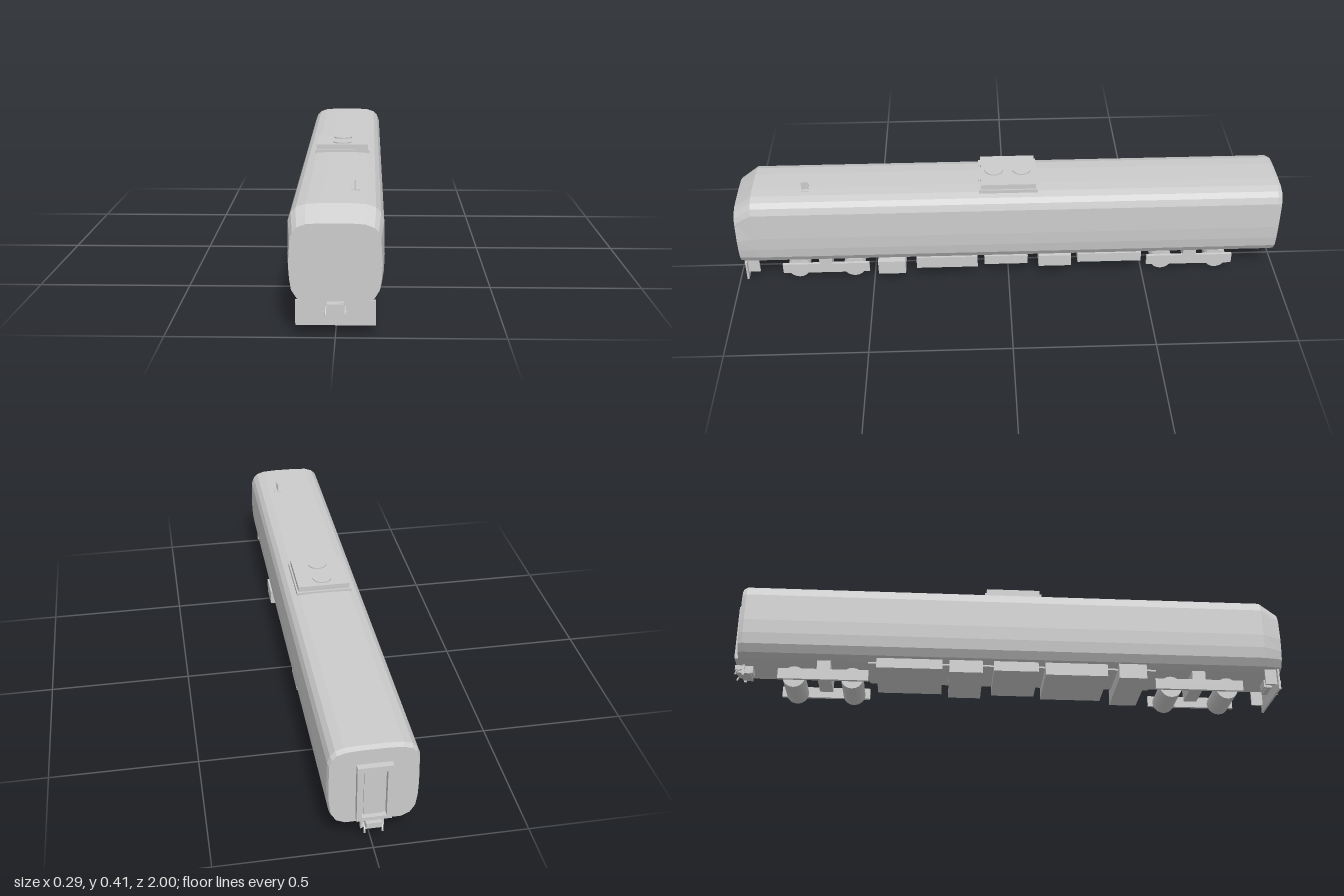
import * as THREE from 'three';

const grey = new THREE.MeshStandardMaterial({ color: 0xcccccc, flatShading: true });

// Box given by its limits on each axis
function box(parent, name, [x0, x1], [y0, y1], [z0, z1]) {
  const mesh = new THREE.Mesh(new THREE.BoxGeometry(x1 - x0, y1 - y0, z1 - z0), grey);
  mesh.position.set((x0 + x1) / 2, (y0 + y1) / 2, (z0 + z1) / 2);
  mesh.name = name;
  parent.add(mesh);
  return mesh;
}

// Right half of the hull section, bottom to top; mirrored into a closed ring
const fullHalf = [[0.09, 0.1], [0.118, 0.113], [0.135, 0.14], [0.141, 0.18], [0.143, 0.23],
  [0.141, 0.33], [0.132, 0.354], [0.117, 0.37], [0.09, 0.379], [0.045, 0.382]];
const noseHalf = [[0.085, 0.1], [0.113, 0.112], [0.129, 0.138], [0.134, 0.17], [0.137, 0.215],
  [0.132, 0.29], [0.125, 0.311], [0.113, 0.324], [0.086, 0.334], [0.043, 0.337]];
const mirrorRing = half => [...half, ...half.slice().reverse().map(([x, y]) => [-x, y])];

// Lofts the sections from back to front and caps both ends
function loft(sections) {
  const n = sections[0].ring.length, pos = [], idx = [];
  sections.forEach(({ z, ring }) => ring.forEach(([x, y]) => pos.push(x, y, z)));
  for (let s = 0; s < sections.length - 1; s++) {
    for (let i = 0; i < n; i++) {
      const a = s * n + i, b = s * n + (i + 1) % n;
      idx.push(a, b, b + n, a, b + n, a + n);
    }
  }
  const last = (sections.length - 1) * n;
  for (let i = 1; i < n - 1; i++) {
    idx.push(0, i + 1, i, last, last + i, last + i + 1);
  }
  const geo = new THREE.BufferGeometry();
  geo.setAttribute('position', new THREE.Float32BufferAttribute(pos, 3));
  geo.setIndex(idx);
  geo.computeVertexNormals();
  return geo;
}

// Two axles in a frame with a bolster
function makeTruck(z) {
  const truck = new THREE.Group();
  truck.name = 'truck';
  for (const dz of [-0.103, 0.103]) {
    const wheels = new THREE.Mesh(new THREE.CylinderGeometry(0.04, 0.04, 0.156, 20), grey);
    wheels.rotation.z = Math.PI / 2;
    wheels.position.set(0, 0.04, dz);
    wheels.name = 'wheelSet';
    truck.add(wheels);
  }
  for (const s of [-1, 1]) {
    box(truck, 'sideFrame', s > 0 ? [0.079, 0.09] : [-0.09, -0.079], [0.027, 0.067], [-0.16, 0.16]);
  }
  box(truck, 'bolster', [-0.09, 0.09], [0.05, 0.105], [-0.024, 0.024]);
  truck.position.z = z;
  return truck;
}

// Drawbar box, side hangers and a small curved hook each side
function makeCoupler() {
  const coupler = new THREE.Group();
  coupler.name = 'coupler';
  box(coupler, 'drawbarBox', [-0.025, 0.025], [0.072, 0.103], [0.935, 0.99]);
  box(coupler, 'drawbarShelf', [-0.036, 0.036], [0.066, 0.072], [0.94, 0.975]);
  for (const s of [-1, 1]) {
    box(coupler, 'hanger', [s * 0.034 - 0.003, s * 0.034 + 0.003], [0.06, 0.103], [0.963, 0.972]);
    const path = new THREE.CatmullRomCurve3([[0.972, 0.085], [0.985, 0.081], [0.994, 0.073], [0.997, 0.063]]
      .map(([z, y]) => new THREE.Vector3(s * 0.028, y, z)));
    const hook = new THREE.Mesh(new THREE.TubeGeometry(path, 8, 0.003, 6), grey);
    hook.name = 'hook';
    coupler.add(hook);
  }
  box(coupler, 'knuckle', [-0.024, 0.024], [0.084, 0.102], [0.98, 1]);
  return coupler;
}

export function createModel() {
  const car = new THREE.Group();
  car.name = 'railCar';

  // Hull with raked nose and slightly bevelled tail
  const full = mirrorRing(fullHalf), nose = mirrorRing(noseHalf);
  const tail = full.map(([x, y]) => [x * 0.97, 0.1 + (y - 0.1) * 0.975]);
  const hull = new THREE.Mesh(loft([
    { z: -0.98, ring: tail }, { z: -0.965, ring: full },
    { z: 0.915, ring: full }, { z: 0.978, ring: nose },
  ]), grey);
  hull.name = 'hull';
  car.add(hull);

  // Rear gangway frame around a recessed door
  const frame = new THREE.Shape([[-0.055, 0.115], [0.055, 0.115], [0.055, 0.322], [-0.055, 0.322]]
    .map(p => new THREE.Vector2(...p)));
  frame.holes.push(new THREE.Path([[-0.038, 0.128], [-0.038, 0.302], [0.038, 0.302], [0.038, 0.128]]
    .map(p => new THREE.Vector2(...p))));
  const gangway = new THREE.Mesh(new THREE.ExtrudeGeometry(frame, { depth: 0.022, bevelEnabled: false }), grey);
  gangway.position.z = -1;
  gangway.name = 'gangwayFrame';
  car.add(gangway);
  box(car, 'rearDoor', [-0.031, 0.031], [0.128, 0.295], [-0.985, -0.975]);

  // Roof unit with two fans
  box(car, 'roofUnitBase', [-0.098, 0.098], [0.37, 0.389], [-0.105, 0.105]);
  box(car, 'roofUnit', [-0.092, 0.092], [0.389, 0.408], [-0.098, 0.098]);
  for (const z of [-0.05, 0.05]) {
    const fan = new THREE.Mesh(new THREE.CylinderGeometry(0.033, 0.033, 0.005, 24), grey);
    fan.position.set(0, 0.41, z);
    fan.name = 'fan';
    car.add(fan);
  }

  // Roof antenna
  box(car, 'antennaBase', [0.039, 0.069], [0.378, 0.383], [0.712, 0.738]);
  box(car, 'antennaBlade', [0.052, 0.056], [0.382, 0.413], [0.712, 0.738]);

  // Front pilot plate and its brackets
  box(car, 'pilotPlate', [-0.118, 0.118], [0.027, 0.104], [0.96, 0.967]);
  for (const s of [-1, 1]) {
    box(car, 'pilotBracket', [s * 0.1 - 0.004, s * 0.1 + 0.004], [0.05, 0.11], [0.918, 0.961]);
  }

  // Underfloor equipment: z limits, bottom, x limits
  const equipment = [
    [0.38, 0.48, 0.05, -0.124, 0.135],
    [0.115, 0.34, 0.058, -0.116, 0.116],
    [-0.07, 0.09, 0.068, -0.116, 0.116],
    [-0.23, -0.11, 0.058, -0.116, 0.122],
    [-0.49, -0.255, 0.068, -0.116, 0.116],
  ];
  for (const [z0, z1, y, x0, x1] of equipment) {
    box(car, 'equipmentBox', [x0, x1], [y, 0.105], [z0, z1]);
  }
  box(car, 'underfloorSlab', [-0.09, 0.09], [0.094, 0.105], [-0.52, 0.52]);

  // Running gear and couplers at both ends
  for (const z of [-0.677, 0.677]) car.add(makeTruck(z));
  const frontCoupler = makeCoupler(), rearCoupler = makeCoupler();
  rearCoupler.rotation.y = Math.PI;
  car.add(frontCoupler, rearCoupler);
  return car;
}
